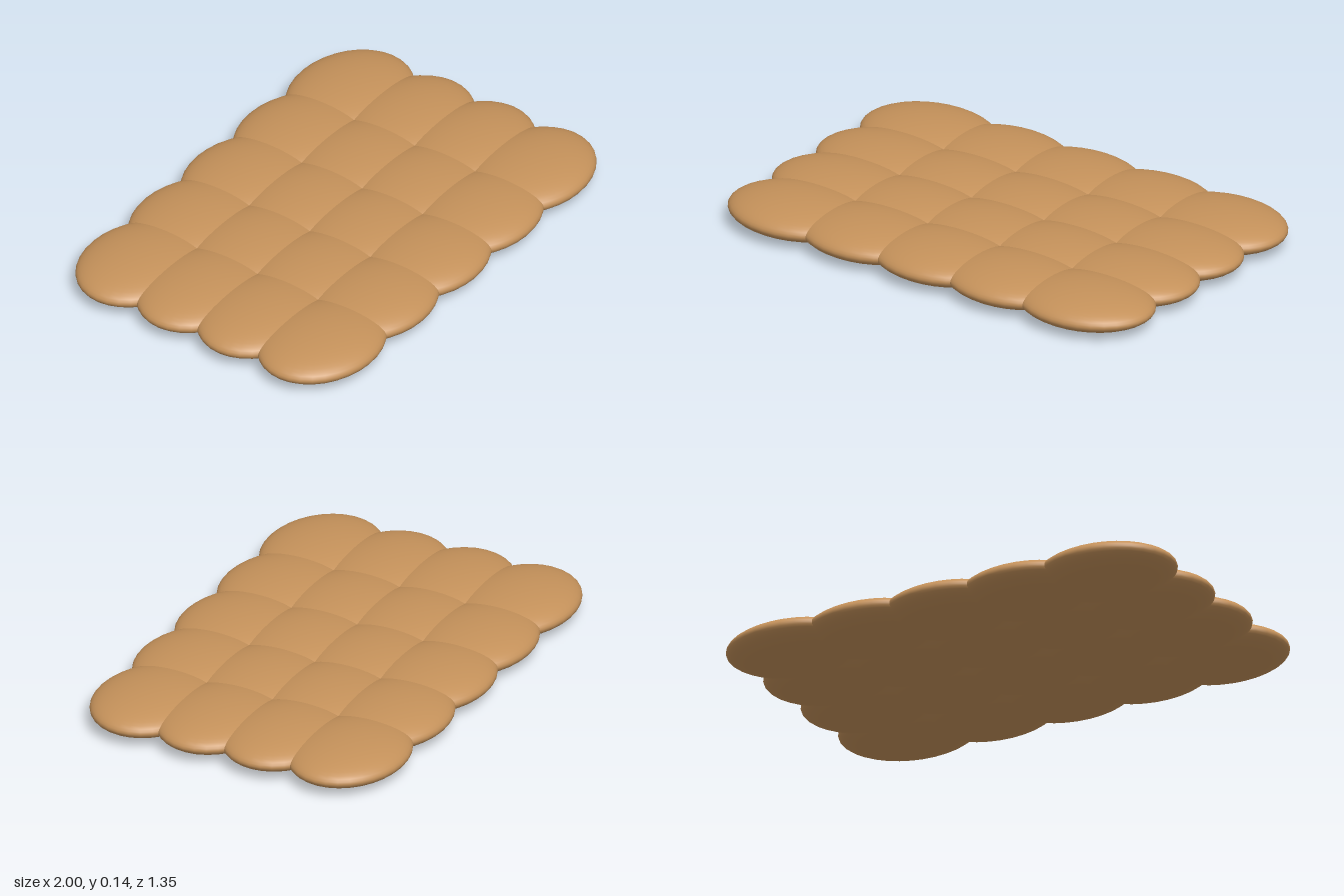
import * as THREE from 'three';

// Flat pad made of overlapping flattened cushions in a 5 x 4 grid
export function createModel() {
  const pad = new THREE.Group();
  pad.name = 'cushionPad';
  const material = new THREE.MeshStandardMaterial({ color: 0xc4915a });

  const columns = 5, rows = 4;
  const radius = new THREE.Vector3(0.294, 0.07, 0.235);
  const stepX = 0.353, stepZ = 0.294;

  // One squashed sphere shared by every cushion
  const cushion = new THREE.SphereGeometry(1, 32, 24);
  cushion.scale(radius.x, radius.y, radius.z);

  for (let row = 0; row < rows; row++) {
    for (let column = 0; column < columns; column++) {
      const mesh = new THREE.Mesh(cushion, material);
      mesh.name = `cushion_${row + 1}_${column + 1}`;
      mesh.position.set(
        (column - (columns - 1) / 2) * stepX,
        radius.y,
        (row - (rows - 1) / 2) * stepZ
      );
      pad.add(mesh);
    }
  }
  return pad;
}
